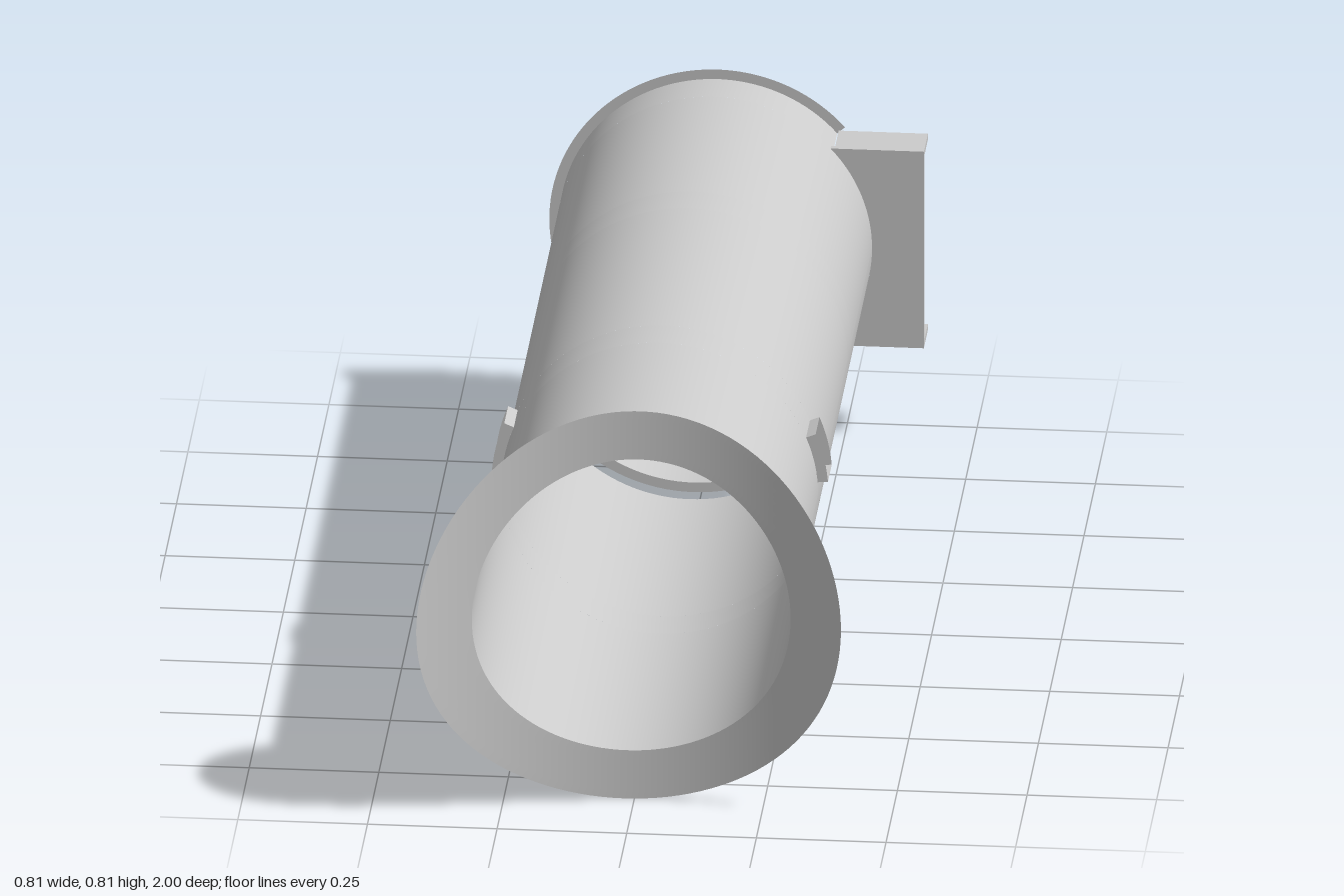
import * as THREE from 'three';

const R = 0.305;        // tube radius
const LIP = 0.325;      // outer radius of the thin lips
const CY = 0.407;       // height of the tube axis
const BACK = -1;
const rad = THREE.MathUtils.degToRad;

const sheet = new THREE.MeshStandardMaterial({ color: 0xcccccc, side: THREE.DoubleSide });
const solid = new THREE.MeshStandardMaterial({ color: 0xcccccc });

// Front edge lies on a large upright cylinder, slightly off centre
const frontZ = (x) => 1.55 - Math.sqrt(0.72 ** 2 - (x - 0.06) ** 2);

// Thin surface from a rule in cylindrical coordinates: f(u, v) -> [angle in degrees, radius, z]
function patch(name, nu, nv, f) {
  const pos = [], index = [];
  for (let j = 0; j <= nv; j++) {
    for (let i = 0; i <= nu; i++) {
      const [deg, r, z] = f(i / nu, j / nv);
      const x = r * Math.cos(rad(deg)), y = r * Math.sin(rad(deg));
      pos.push(x, y, z === 'front' ? frontZ(x) : z);
      if (i < nu && j < nv) {
        const a = j * (nu + 1) + i, b = a + 1, c = a + nu + 1, d = c + 1;
        index.push(a, b, d, a, d, c);
      }
    }
  }
  const g = new THREE.BufferGeometry();
  g.setAttribute('position', new THREE.Float32BufferAttribute(pos, 3));
  g.setIndex(index);
  g.computeVertexNormals();
  const mesh = new THREE.Mesh(g, sheet);
  mesh.name = name;
  return mesh;
}

const mix = THREE.MathUtils.lerp;
const steps = (a, b) => Math.max(4, Math.ceil((b - a) / 3));

// Piece of tube wall between two angles and two depths
function wall(a0, a1, z0, z1) {
  return patch('tubeWall', steps(a0, a1), 1, (u, v) => {
    const a = mix(a0, a1, u);
    const end = z1 === 'front' ? frontZ(R * Math.cos(rad(a))) : z1;
    return [a, R, mix(z0, end, v)];
  });
}

// Flat lip standing out from the tube, square to its axis
const arcLip = (name, a0, a1, z) =>
  patch(name, steps(a0, a1), 1, (u, v) => [mix(a0, a1, u), mix(LIP, R, v), z]);

// Flat lip running along the tube
const sideLip = (name, a, z0, z1) =>
  patch(name, 1, 1, (u, v) => [a, mix(R, LIP, u), mix(z0, z1, v)]);

// Lips on all four sides of an opening
function openingFrame(name, a0, a1, z0, z1) {
  const g = new THREE.Group();
  g.name = name;
  for (const z of [z0, z1]) g.add(arcLip('endLip', a0, a1, z));
  for (const a of [a0, a1]) g.add(sideLip('sideLip', a, z0, z1));
  return g;
}

// Three-sided bracket round the opening at the back end
function makeBracket() {
  const g = new THREE.Group();
  g.name = 'sideBracket';
  const outer = 0.405, half = 0.206, t = 0.013, front = -0.913;
  const a = Math.asin(half / R);
  const s = new THREE.Shape();
  s.moveTo(R * Math.cos(a), -half);
  s.lineTo(outer, -half);
  s.lineTo(outer, half);
  s.lineTo(R * Math.cos(a), half);
  s.absarc(0, 0, R, a, -a, true);
  const plate = new THREE.Mesh(
    new THREE.ExtrudeGeometry(s, { depth: t, bevelEnabled: false, curveSegments: 32 }), solid);
  plate.name = 'bracketPlate';
  plate.position.z = front - t;
  g.add(plate);
  const x0 = 0.233, depth = front - t - BACK;
  for (const side of [1, -1]) {
    const flap = new THREE.Mesh(new THREE.BoxGeometry(outer - x0, t, depth), solid);
    flap.name = side > 0 ? 'bracketTop' : 'bracketBottom';
    flap.position.set((outer + x0) / 2, side * (half - t / 2), BACK + depth / 2);
    g.add(flap);
  }
  return g;
}

export function createModel() {
  const model = new THREE.Group();
  model.name = 'flangedTube';
  const body = new THREE.Group();
  body.position.y = CY;
  model.add(body);

  // Depths and angles of the openings
  const bracketZ = -0.915, bracketA = 41;
  const slot = [225, 315, -0.458, -0.378];
  const win = [4.5, 22.5, 0.187, 0.27];

  // Tube, in bands that leave the openings free
  const tube = new THREE.Group();
  tube.name = 'tube';
  tube.add(
    wall(bracketA, 360 - bracketA, BACK, bracketZ),
    wall(0, 360, bracketZ, slot[2]),
    wall(slot[1] - 360, slot[0], slot[2], slot[3]),
    wall(0, 360, slot[3], win[2]),
    wall(win[1], 180 - win[1], win[2], win[3]),
    wall(180 - win[0], 360 + win[0], win[2], win[3]),
    wall(0, 360, win[3], 'front'),
  );
  body.add(tube);

  // Saddle-shaped front flange
  body.add(patch('frontFlange', 120, 6, (u, v) => [u * 360, mix(0.406, R, v), 'front']));

  // Lips at the back end and round the openings
  body.add(arcLip('backLip', bracketA, 360 - bracketA, BACK));
  body.add(openingFrame('bottomSlot', ...slot));
  body.add(openingFrame('leftWindow', ...win));
  body.add(openingFrame('rightWindow', 180 - win[1], 180 - win[0], win[2], win[3]));

  body.add(makeBracket());
  return model;
}
